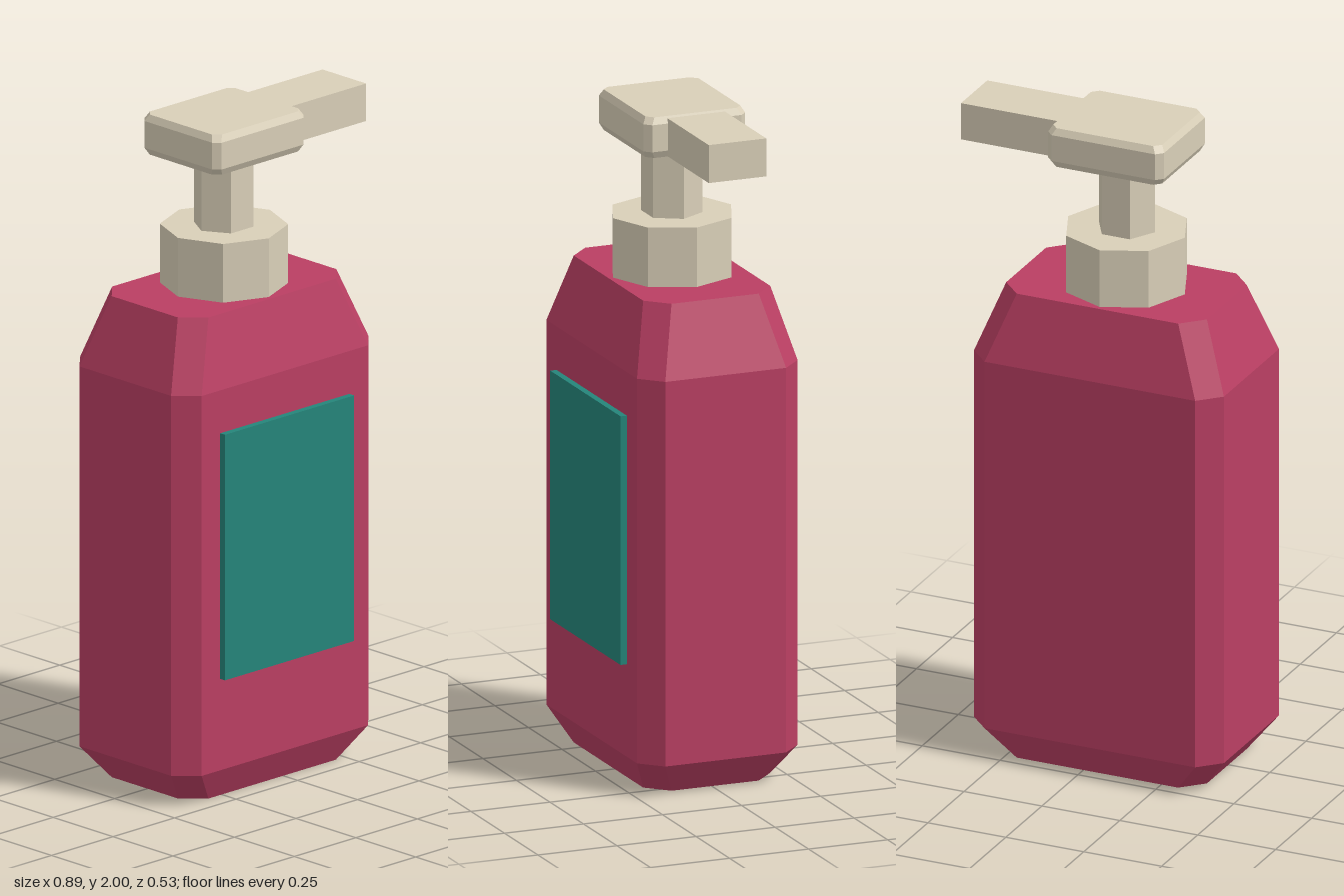
import * as THREE from 'three';

const CX = -0.045, CZ = -0.011; // shared axis of bottle and pump

// Stacks corner-cut rectangles [y, halfX, halfZ, cut] into a closed solid
function chamferedSolid(levels) {
  const pos = [], index = [];
  for (const [y, a, b, c] of levels) {
    const ring = [[a, b - c], [a - c, b], [c - a, b], [-a, b - c],
      [-a, c - b], [c - a, -b], [a - c, -b], [a, c - b]];
    for (const [x, z] of ring) pos.push(x, y, z);
  }
  const last = (levels.length - 1) * 8;
  for (let r = 0; r < last; r += 8) {
    for (let i = 0; i < 8; i++) {
      const j = (i + 1) % 8;
      index.push(r + i, r + 8 + i, r + j, r + j, r + 8 + i, r + 8 + j);
    }
  }
  for (let i = 1; i < 7; i++) {
    index.push(0, i, i + 1); // bottom cap
    index.push(last, last + i + 1, last + i); // top cap
  }
  const indexed = new THREE.BufferGeometry();
  indexed.setAttribute('position', new THREE.Float32BufferAttribute(pos, 3));
  indexed.setIndex(index);
  const geo = indexed.toNonIndexed();
  geo.computeVertexNormals();
  return geo;
}

function paint(name, color) {
  const m = new THREE.MeshStandardMaterial({ color, flatShading: true });
  m.name = name;
  return m;
}

export function createModel() {
  const model = new THREE.Group();
  model.name = 'soapDispenser';
  const raspberry = paint('raspberry', 0xba3f63);
  const cream = paint('cream', 0xd9cfb8);
  const teal = paint('teal', 0x25857a);

  const add = (name, geo, material, x, y, z) => {
    const mesh = new THREE.Mesh(geo, material);
    mesh.name = name;
    mesh.position.set(x, y, z);
    model.add(mesh);
    return mesh;
  };

  // Bottle with tapered base and shoulders
  add('bottle', chamferedSolid([
    [0, 0.322, 0.201, 0.063],
    [0.1, 0.401, 0.254, 0.063],
    [1.265, 0.401, 0.254, 0.063],
    [1.475, 0.322, 0.201, 0.063],
  ]), raspberry, CX, 0, CZ);

  // Front label
  add('label', new THREE.BoxGeometry(0.525, 0.753, 0.03), teal, CX, 0.757, 0.248);

  // Octagonal collar and hexagonal stem
  add('collar', new THREE.CylinderGeometry(0.187, 0.187, 0.18, 8), cream, CX, 1.565, CZ);
  const stem = add('stem', new THREE.CylinderGeometry(0.09, 0.09, 0.235, 6), cream, CX - 0.002, 1.767, CZ);
  stem.rotation.y = Math.PI / 2;

  // Bevelled pump head
  add('pumpHead', chamferedSolid([
    [1.877, 0.175, 0.15, 0.02],
    [1.898, 0.186, 0.161, 0.02],
    [1.98, 0.186, 0.161, 0.02],
    [2, 0.175, 0.15, 0.02],
  ]), cream, CX, 0, CZ);

  // Spout
  add('spout', new THREE.BoxGeometry(0.309, 0.115, 0.182), cream, 0.2895, 1.937, CZ);

  return model;
}
